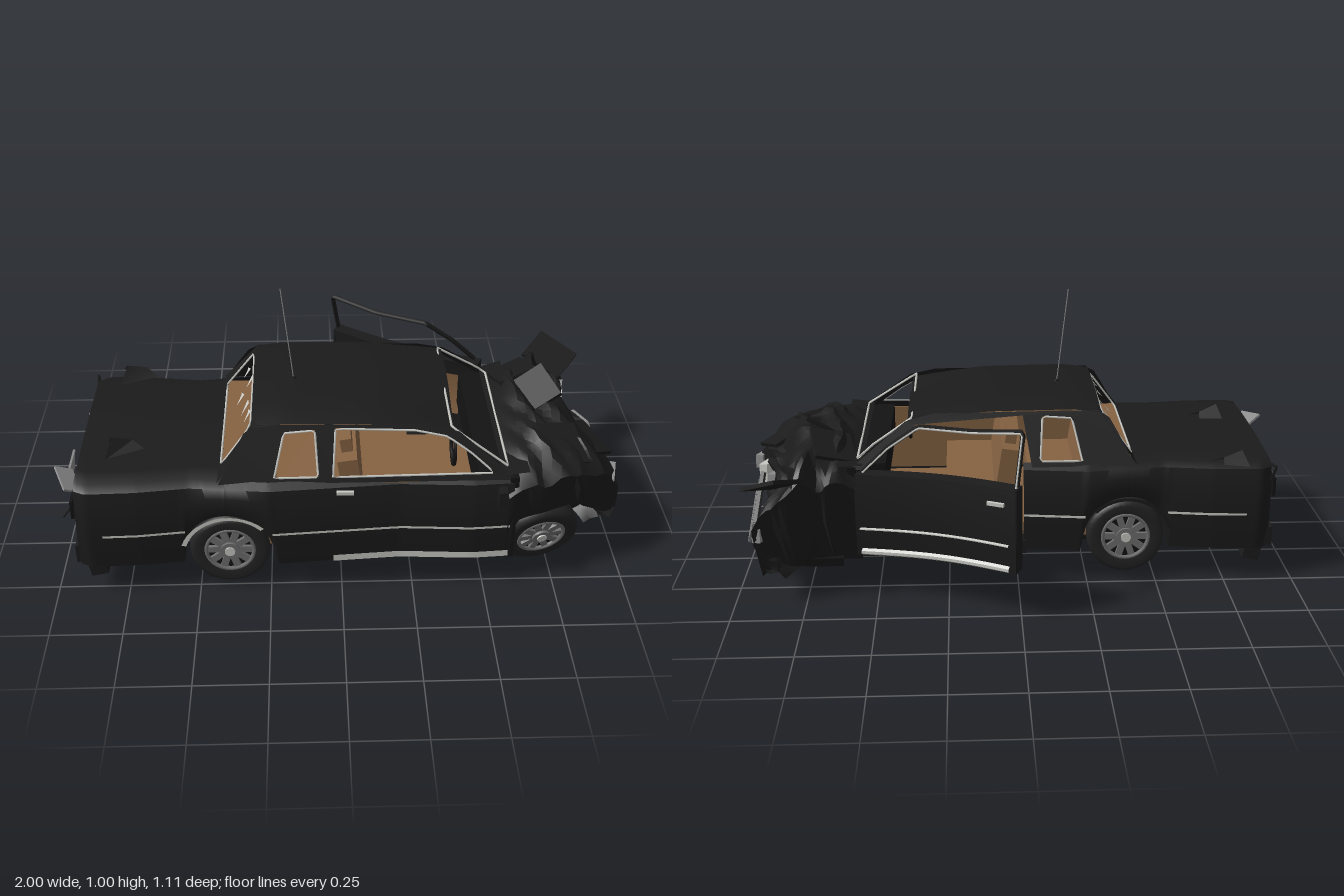
import * as THREE from 'three';
import { toCreasedNormals } from 'three/addons/utils/BufferGeometryUtils.js';

const paint = (name, hex, side = THREE.DoubleSide) => {
  const m = new THREE.MeshStandardMaterial({ color: hex, side });
  m.name = name;
  return m;
};
const M = {
  body: paint('blackPaint', 0x1b1b1b), under: paint('underside', 0x131313),
  tire: paint('rubber', 0x232323), rim: paint('wheelGrey', 0x6f6f6f),
  chrome: paint('chrome', 0xc9c9c4), tan: paint('tanInterior', 0x866343),
  metal: paint('bareMetal', 0x8c8c8c),
};
const V = (a) => new THREE.Vector3(...a);
const lerp = THREE.MathUtils.lerp;
const MID = 0.145; // centre line of the body in z

// linear interpolation through [position, value] pairs
function curve(pairs, t) {
  for (let i = 1; i < pairs.length; i++) {
    const [a, va] = pairs[i - 1], [b, vb] = pairs[i];
    if (t <= b) return lerp(va, vb, Math.max(0, (t - a) / (b - a)));
  }
  return pairs[pairs.length - 1][1];
}
function add(parent, name, geo, mat, pos = [0, 0, 0], rot = [0, 0, 0]) {
  const m = new THREE.Mesh(geo, mat);
  m.name = name;
  m.position.set(...pos);
  m.rotation.set(...rot);
  parent.add(m);
  return m;
}
const box = (p, name, size, mat, pos, rot) => add(p, name, new THREE.BoxGeometry(...size), mat, pos, rot);

// surface through rows of [x, y, z] points
function grid(rows, crease = 0.6) {
  const n = rows[0].length, idx = [];
  for (let i = 0; i < rows.length - 1; i++) for (let j = 0; j < n - 1; j++) {
    const a = i * n + j;
    idx.push(a, a + n, a + 1, a + 1, a + n, a + n + 1);
  }
  const g = new THREE.BufferGeometry();
  g.setAttribute('position', new THREE.Float32BufferAttribute(rows.flat(2), 3));
  g.setIndex(idx);
  return toCreasedNormals(g, crease);
}
// flat outline with holes, bent into place by a rule
function panel(outline, holes, rule) {
  const s = new THREE.Shape(outline.map((p) => new THREE.Vector2(...p)));
  s.holes = holes.map((h) => new THREE.Path(h.map((p) => new THREE.Vector2(...p))));
  const g = new THREE.ShapeGeometry(s), a = g.attributes.position;
  for (let i = 0; i < a.count; i++) a.setXYZ(i, ...rule(a.getX(i), a.getY(i)));
  g.computeVertexNormals();
  return g;
}
function rod(parent, name, pts, r, mat, closed = false) {
  const c = new THREE.CatmullRomCurve3(pts.map(V), closed, 'catmullrom', 0);
  return add(parent, name, new THREE.TubeGeometry(c, pts.length * 8, r, 5, closed), mat);
}

// half width of the body and wheel-arch height along x
const width = (x, s) => s > 0
  ? curve([[-0.91, 0.385], [-0.87, 0.405], [-0.7, 0.4], [-0.52, 0.38], [-0.25, 0.408], [0.2, 0.375], [0.45, 0.39], [0.6, 0.38]], x)
  : curve([[-0.91, 0.37], [-0.87, 0.4], [-0.7, 0.39], [-0.52, 0.365], [-0.25, 0.4], [0, 0.37], [0.6, 0.4]], x);
const arch = (x) => Math.max(0.125, 0.17 + Math.sqrt(Math.max(0, 0.0245 - (x + 0.39) ** 2)) - (Math.abs(x + 0.39) > 0.156 ? 0.05 : 0));
function section(x, s, deck) {
  const w = width(x, s), h = arch(x), z = (d) => MID + s * d;
  const p = [[x, 0.125, z(0)], [x, 0.125, z(w - 0.14)], [x, h, z(w - 0.14)], [x, h, z(w - 0.012)],
    [x, lerp(h, 0.42, 0.4), z(w)], [x, lerp(h, 0.42, 0.8), z(w - 0.004)], [x, 0.43, z(w - 0.02)], [x, 0.447, z(w - 0.05)]];
  if (deck) p.push([x, 0.45, z(w - 0.12)], [x, 0.455, z(0.12)], [x, 0.455, z(0)]);
  return p;
}
function sections(x0, x1, s, deck) {
  const n = Math.round((x1 - x0) / 0.0125);
  return Array.from({ length: n + 1 }, (_, i) => section(lerp(x0, x1, i / n), s, deck));
}

function buildBody(car) {
  for (const s of [1, -1]) {
    const tail = sections(-0.91, -0.4, s, true);
    tail.unshift(tail[0].map(() => [-0.915, 0.29, MID]));
    add(car, 'trunkHalf', grid(tail), M.body);
    add(car, 'bodySide', grid(sections(-0.4, s > 0 ? 0.59 : -0.02, s, false)), M.body);
  }
  // floor, sill and firewall
  box(car, 'underbody', [1.1, 0.03, 0.5], M.under, [0.06, 0.125, MID]);
  box(car, 'doorSill', [0.62, 0.05, 0.14], M.body, [0.28, 0.14, -0.16]);
  box(car, 'cabinFloor', [0.95, 0.02, 0.64], M.tan, [0.08, 0.17, MID]);
  box(car, 'firewall', [0.03, 0.34, 0.72], M.under, [0.59, 0.28, MID]);
  box(car, 'rearBulkhead', [0.02, 0.27, 0.62], M.under, [-0.4, 0.3, MID]);

  // cabin sides lean inward
  const lean = (s) => (x, y) => [x, y, MID + s * lerp(0.355, 0.275, (y - 0.44) / 0.18)];
  const quarter = [[-0.23, 0.46], [-0.195, 0.6], [-0.09, 0.607], [-0.08, 0.46]];
  const front = [[-0.03, 0.46], [-0.02, 0.612], [0.25, 0.603], [0.36, 0.582], [0.44, 0.53], [0.52, 0.465]];
  const rear = [[-0.42, 0.44], [-0.36, 0.55], [-0.33, 0.6], [-0.29, 0.625]];
  const nose = [[0.3, 0.62], [0.4, 0.595], [0.6, 0.44]];
  add(car, 'leftCabinSide', panel([...rear, ...nose], [quarter, front], lean(1)), M.body);
  add(car, 'rightCabinSide', panel([...rear, ...nose, [0.55, 0.44], [0.36, 0.585], [-0.02, 0.61], [-0.05, 0.44]], [quarter], lean(-1)), M.body);
  for (const s of [1, -1]) {
    const out = (p) => { const q = lean(s)(...p); q[2] += s * 0.004; return q; };
    rod(car, 'quarterWindowTrim', quarter.map(out), 0.004, M.chrome, true);
    if (s > 0) rod(car, 'doorWindowTrim', front.map(out), 0.004, M.chrome, true);
  }

  // roof with a buckled front edge
  const roof = [];
  for (let i = 0; i <= 14; i++) {
    const t = i / 14, row = [];
    for (let j = 0; j <= 14; j++) {
      const v = j / 14 * 2 - 1, buckle = t ** 5 * 0.035 * Math.exp(-((v - 0.55) ** 2) * 6);
      row.push([lerp(-0.3, 0.39, t), curve([[0, 0.625], [0.15, 0.637], [0.6, 0.633], [1, 0.602]], t) + 0.012 * (1 - v * v) - 0.006 * v ** 6 - buckle, MID + v * 0.28]);
    }
    roof.push(row);
  }
  add(car, 'roof', grid(roof), M.body);

  // rear window surround, u across and v up the slope
  const slope = (u, v) => [lerp(-0.425, -0.29, v), lerp(0.445, 0.63, v), MID + u * lerp(0.355, 0.278, v)];
  const glass = [[-0.77, 0.08], [-0.86, 0.87], [0.86, 0.87], [0.77, 0.08]];
  add(car, 'rearWindowSurround', panel([[-1, 0], [-1, 1], [1, 1], [1, 0]], [glass], slope), M.body);
  rod(car, 'rearWindowTrim', glass.map((p) => slope(...p)), 0.004, M.chrome, true);
  [[-0.6, 0.7], [-0.3, 0.8], [-0.15, 0.55], [0.2, 0.7], [0.45, 0.78]].forEach(([u, v], i) =>
    add(car, 'glassShard', panel([[u, v], [u + 0.12, v - 0.12], [u + 0.07, v + 0.09], [u - 0.05, v + 0.06 * (i % 2)]], [], slope), M.chrome));
  rod(car, 'windshieldTrim', [[0.57, 0.468, 0.455], [0.375, 0.603, 0.415], [0.375, 0.604, -0.125], [0.52, 0.51, -0.15], [0.57, 0.468, -0.17]], 0.0045, M.chrome, true);
  add(car, 'cowl', grid([[[0.55, 0.46, 0.5], [0.55, 0.46, -0.22]], [[0.64, 0.47, 0.5], [0.64, 0.47, -0.25]]]), M.body);

  // chrome along the sides
  const strip = (name, s, x0, x1, y, h) => {
    const rows = [];
    for (let i = 0; i <= 24; i++) {
      const x = lerp(x0, x1, i / 24), z = MID + s * (width(x, s) + 0.004);
      rows.push([[x, y, z], [x, y + h, z]]);
    }
    add(car, name, grid(rows), M.chrome);
  };
  strip('leftTrimRear', 1, -0.82, -0.54, 0.26, 0.009);
  strip('leftTrim', 1, -0.24, 0.58, 0.26, 0.009);
  strip('leftSillTrim', 1, -0.03, 0.58, 0.135, 0.025);
  strip('rightTrimRear', -1, -0.82, -0.54, 0.26, 0.009);
  strip('rightTrim', -1, -0.24, -0.02, 0.26, 0.009);
  for (const s of [1, -1]) {
    const arc = [];
    for (let i = 0; i <= 14; i++) {
      const a = lerp(0.25, 0.9, i / 14) * Math.PI, c = Math.cos(a), d = Math.sin(a), z = MID + s * 0.406;
      arc.push([[-0.39 + c * 0.155, 0.17 + d * 0.155, z], [-0.39 + c * 0.172, 0.17 + d * 0.167, z]]);
    }
    add(car, 'archTrim', grid(arc), s > 0 ? M.chrome : M.body);
  }
  box(car, 'doorHandle', [0.06, 0.012, 0.012], M.chrome, [0.01, 0.415, 0.525]);
  box(car, 'sideMirror', [0.03, 0.06, 0.04], M.body, [0.545, 0.4, 0.545]);
  rod(car, 'antenna', [[-0.16, 0.64, 0.15], [-0.2, 1, 0.15]], 0.002, M.metal);
  add(car, 'antennaBase', new THREE.CylinderGeometry(0.008, 0.012, 0.015, 10), M.body, [-0.16, 0.647, 0.15]);
}

function buildInterior(car) {
  box(car, 'rearShelf', [0.1, 0.02, 0.58], M.tan, [-0.36, 0.45, MID]);
  for (const [x, name] of [[-0.26, 'rearSeat'], [0.05, 'frontSeat']]) {
    box(car, name + 'Cushion', [0.22, 0.12, 0.58], M.tan, [x + 0.1, 0.25, MID]);
    box(car, name + 'Back', [0.07, 0.27, 0.58], M.tan, [x - 0.01, 0.35, MID], [0, 0, 0.15]);
  }
  for (const z of [0.32, -0.02]) box(car, 'headrest', [0.04, 0.07, 0.12], M.tan, [0.02, 0.5, z], [0, 0, 0.15]);
  box(car, 'leftInnerPanel', [0.9, 0.26, 0.01], M.tan, [0.08, 0.31, 0.49]);
  box(car, 'dashboard', [0.12, 0.13, 0.66], M.under, [0.53, 0.39, MID]);
  add(car, 'steeringWheel', new THREE.TorusGeometry(0.06, 0.007, 6, 20), M.under, [0.4, 0.44, 0.3], [0, Math.PI / 2, 0.4]);
  rod(car, 'mirrorStalk', [[0.37, 0.6, MID], [0.36, 0.56, MID]], 0.004, M.under);
  box(car, 'rearViewMirror', [0.012, 0.03, 0.1], M.under, [0.36, 0.55, MID]);
}

// crushed hood, fenders and grille wall
function buildNose(car) {
  const crush = (a, b) => Math.sin(a * 17 + b * 5) * 0.5 + Math.sin(b * 13 - a * 9 + 1.3) * 0.35 + Math.sin(a * 31 + b * 23) * 0.3;
  const tip = (s) => curve([[0, 0.99], [0.25, 0.93], [0.55, 0.86], [0.8, 0.84], [1, 0.92]], s);
  const edgeL = (t) => curve([[0, 0.53], [0.5, 0.47], [1, 0.34]], t);
  const edgeR = (t) => curve([[0, -0.25], [0.5, -0.31], [1, -0.41]], t);
  const top = (t) => curve([[0, 0.47], [0.25, 0.515], [0.45, 0.5], [0.6, 0.515], [0.8, 0.46], [1, 0.4]], t);
  const at = (t, s) => {
    const k = 0.03 * Math.min(1, t * 3), droop = 0.09 * Math.abs(2 * s - 1) ** 4;
    return [lerp(0.57, tip(s), t) + k * 0.5 * crush(s, t + 2), top(t) - droop + k * crush(t, s) * 0.9,
      lerp(edgeL(t), edgeR(t), s) + k * 0.4 * crush(s + 1, t)];
  };
  const rows = [];
  for (let i = 0; i <= 16; i++) {
    const t = i / 16, row = [];
    for (let j = 0; j <= 22; j++) row.push(at(t, j / 22));
    const l = row[0], r = row[22];
    const low = curve([[0, 0.14], [0.08, 0.27], [0.6, 0.3], [0.85, 0.2], [1, 0.18]], t);
    row.unshift([l[0], low, l[2] - 0.01], [l[0], lerp(low, l[1], 0.6), l[2] + 0.015 * crush(t, 3)]);
    row.push([r[0], 0.28, r[2] + 0.02 * crush(t, 5)], [r[0] - 0.02, 0.11 + 0.02 * crush(t, 1), r[2] + 0.05]);
    rows.push(row);
  }
  add(car, 'crushedHood', grid(rows, 0.4), M.body);
  const face = [];
  for (let i = 0; i <= 10; i++) {
    const d = i / 10, row = [];
    for (let j = 0; j <= 22; j++) {
      const s = j / 22, p = at(1, s);
      row.push([p[0] + Math.sin(d * Math.PI) * 0.02 * crush(d * 2, s) - 0.1 * d * d * d, lerp(p[1], 0.1, d) + (d > 0 ? 0.012 * crush(s, d) : 0), p[2] * (1 - 0.1 * d)]);
    }
    face.push(row);
  }
  add(car, 'crushedFront', grid(face, 0.4), M.body);
  box(car, 'engineBay', [0.28, 0.22, 0.52], M.under, [0.7, 0.22, 0.02]);
  box(car, 'noseFloor', [0.24, 0.03, 0.52], M.under, [0.77, 0.115, -0.02], [0, 0.1, 0.05]);
  // bent bumper
  rod(car, 'bumper', [[0.96, 0.2, 0.36], [0.93, 0.17, 0.22], [0.85, 0.15, 0.02], [0.83, 0.15, -0.2], [0.87, 0.14, -0.36]], 0.032, M.body);
  // bent sheet pieces thrown off the hood and fender
  [[0.72, 0.52, 0.05, 0.2, 0.3, 0.5], [0.66, 0.5, -0.12, -0.3, 0.2, 0.35], [0.88, 0.42, 0.22, 0.3, 0.5, -0.5],
    [0.85, 0.44, -0.34, 0.6, 0.9, -0.2], [0.78, 0.47, 0.33, 0.4, 0.2, -0.3]].forEach(([x, y, z, a, b, c]) =>
    box(car, 'bentSheet', [0.15, 0.014, 0.17], M.body, [x, y, z], [a, b, c]));

  // torn-off grille
  const g = new THREE.Group();
  g.name = 'grille';
  g.position.set(0.955, 0.255, -0.085);
  g.rotation.set(-0.4, 0, 0.3);
  car.add(g);
  box(g, 'grilleBack', [0.012, 0.1, 0.26], M.body, [-0.008, 0, 0]);
  for (const s of [1, -1]) {
    box(g, 'grilleRail', [0.012, 0.008, 0.26], M.metal, [0, s * 0.05, 0]);
    box(g, 'grilleEnd', [0.012, 0.1, 0.008], M.metal, [0, 0, s * 0.13]);
  }
  for (let i = 0; i < 9; i++) box(g, 'grilleBar', [0.008, 0.09, 0.004], M.metal, [0, 0, -0.1 + i * 0.025]);
  for (let i = 0; i < 3; i++) box(g, 'grilleCross', [0.008, 0.004, 0.25], M.metal, [0, -0.025 + i * 0.025, 0]);
  box(car, 'frontPlate', [0.006, 0.07, 0.16], M.under, [0.93, 0.19, -0.09], [-0.35, 0, 0.2]);
  // broken headlamps
  [[0.975, 0.3, 0.29, 0.05, 0.1], [0.935, 0.3, 0.16, 0.08, 0.13], [0.9, 0.31, 0.06, 0.04, 0.07], [0.88, 0.295, -0.25, 0.04, 0.06], [0.905, 0.27, -0.37, 0.05, 0.04]].forEach(([x, y, z, h, w], i) =>
    box(car, 'headlamp', [0.03, h, w], i % 2 ? M.chrome : M.metal, [x, y, z], [0.1, -0.25, 0]));
}

function buildDoor(car) {
  const d = new THREE.Group();
  d.name = 'openDoor';
  d.position.set(0.56, 0, -0.27);
  d.rotation.y = Math.PI - 0.42;
  car.add(d);
  // skin bowed along its length
  const bow = (u) => -0.03 * Math.sin(u / 0.6 * Math.PI);
  const skin = (z0, y0, y1, u0 = 0, u1 = 0.6) => {
    const rows = [];
    for (let i = 0; i <= 12; i++) {
      const u = lerp(u0, u1, i / 12), k = u / 0.6 * 0.03;
      rows.push([0, 0.3, 0.7, 1].map((v) => [u, lerp(y0, y1, v) + k, bow(u) + z0 + 0.012 * Math.sin(v * Math.PI)]));
    }
    return grid(rows);
  };
  add(d, 'doorSkin', skin(0.025, 0.15, 0.455), M.body);
  add(d, 'doorInner', skin(-0.03, 0.15, 0.455), M.body);
  add(d, 'doorInnerTrim', skin(-0.036, 0.22, 0.4, 0.06, 0.54), M.tan);
  for (const u of [0, 0.6]) box(d, 'doorEnd', [0.006, 0.305, 0.056], M.body, [u, 0.303 + u * 0.05, -0.002]);
  for (const y of [0.15, 0.455]) {
    const rows = Array.from({ length: 13 }, (_, i) => [0.025, -0.03].map((z) => [i * 0.05, y + i * 0.0025, bow(i * 0.05) + z]));
    add(d, 'doorEdge', grid(rows), M.body);
  }
  add(d, 'doorTrim', skin(0.04, 0.255, 0.263, 0.02, 0.58), M.chrome);
  add(d, 'doorSillTrim', skin(0.031, 0.155, 0.18, 0.02, 0.58), M.chrome);
  box(d, 'doorHandle', [0.06, 0.012, 0.012], M.chrome, [0.53, 0.43, 0.03]);
  const frame = [[0.02, 0.465, 0], [0.1, 0.55, -0.04], [0.2, 0.625, -0.08], [0.4, 0.632, -0.085], [0.59, 0.66, -0.07], [0.595, 0.49, 0]];
  rod(d, 'windowFrame', frame, 0.009, M.body);
  rod(d, 'windowTrim', frame.map(([x, y, z]) => [x, y - 0.004, z + 0.008]), 0.004, M.chrome);
}

function buildWheel(car, name, pos, rot, s) {
  const w = new THREE.Group();
  w.name = name;
  w.position.set(...pos);
  w.rotation.set(...rot);
  car.add(w);
  const tread = [[0.088, -0.04], [0.12, -0.046], [0.136, -0.036], [0.14, -0.02], [0.14, 0.02], [0.136, 0.036], [0.12, 0.046], [0.088, 0.04]];
  const lathe = new THREE.LatheGeometry(tread.map((p) => new THREE.Vector2(...p)), 36);
  add(w, 'tire', lathe, M.tire, [0, 0, 0], [Math.PI / 2, 0, 0]);
  const disc = (n, r, h, m, z) => add(w, n, new THREE.CylinderGeometry(r, r, h, 28), m, [0, 0, s * z], [Math.PI / 2, 0, 0]);
  disc('rimBack', 0.09, 0.05, M.under, 0);
  add(w, 'rimRing', new THREE.TorusGeometry(0.084, 0.008, 6, 32), M.rim, [0, 0, s * 0.036]);
  for (let i = 0; i < 10; i++) {
    const a = i * Math.PI / 5;
    box(w, 'spoke', [0.058, 0.024, 0.012], M.rim, [Math.cos(a) * 0.05, Math.sin(a) * 0.05, s * 0.032], [0, 0, a]);
  }
  disc('hub', 0.033, 0.03, M.rim, 0.032);
  disc('hubCap', 0.018, 0.012, M.chrome, 0.046);
}

function buildDebris(car) {
  box(car, 'loosePlate', [0.008, 0.08, 0.15], M.metal, [-0.99, 0.255, 0.135], [0, 0, -0.12]);
  box(car, 'tailPlate', [0.07, 0.008, 0.12], M.metal, [-0.945, 0.4, 0.4], [0.2, 0.4, -0.6]);
  box(car, 'tailPlate', [0.06, 0.008, 0.1], M.metal, [-0.9, 0.36, -0.1], [0.2, -0.4, -0.9]);
  rod(car, 'tailStrip', [[-0.91, 0.36, 0.46], [-0.96, 0.3, 0.48]], 0.004, M.body);
  rod(car, 'tailStrip', [[-0.9, 0.34, -0.2], [-0.92, 0.44, -0.24], [-0.9, 0.42, -0.1]], 0.005, M.body);
  for (const z of [0.46, -0.17]) box(car, 'tailLamp', [0.01, 0.07, 0.13], M.under, [-0.918, 0.36, z]);
  box(car, 'rearBumper', [0.05, 0.07, 0.74], M.body, [-0.9, 0.165, MID]);
  for (const z of [0.49, -0.2]) box(car, 'bumperStub', [0.06, 0.07, 0.06], M.body, [-0.855, 0.11, z], [0, 0, 0.2]);
  // torn trunk lid corners
  for (const [z, h] of [[0.3, 0.5], [-0.2, 0.495]]) {
    add(car, 'trunkShard', grid([[[-0.82, 0.45, z - 0.06], [-0.8, h, z - 0.01], [-0.82, 0.45, z + 0.06]],
      [[-0.73, 0.455, z - 0.05], [-0.73, 0.475, z - 0.03], [-0.68, 0.45, z]]], 0.3), M.body);
  }
}

export function createModel() {
  const car = new THREE.Group();
  car.name = 'wreckedCar';
  buildBody(car);
  buildInterior(car);
  buildNose(car);
  buildDoor(car);
  buildWheel(car, 'leftRearWheel', [-0.39, 0.17, 0.475], [0, 0, 0], 1);
  buildWheel(car, 'rightRearWheel', [-0.39, 0.17, -0.18], [0, 0, 0], -1);
  buildWheel(car, 'leftFrontWheel', [0.71, 0.145, 0.385], [0.33, 0.18, 0], 1);
  buildDebris(car);
  return car;
}
